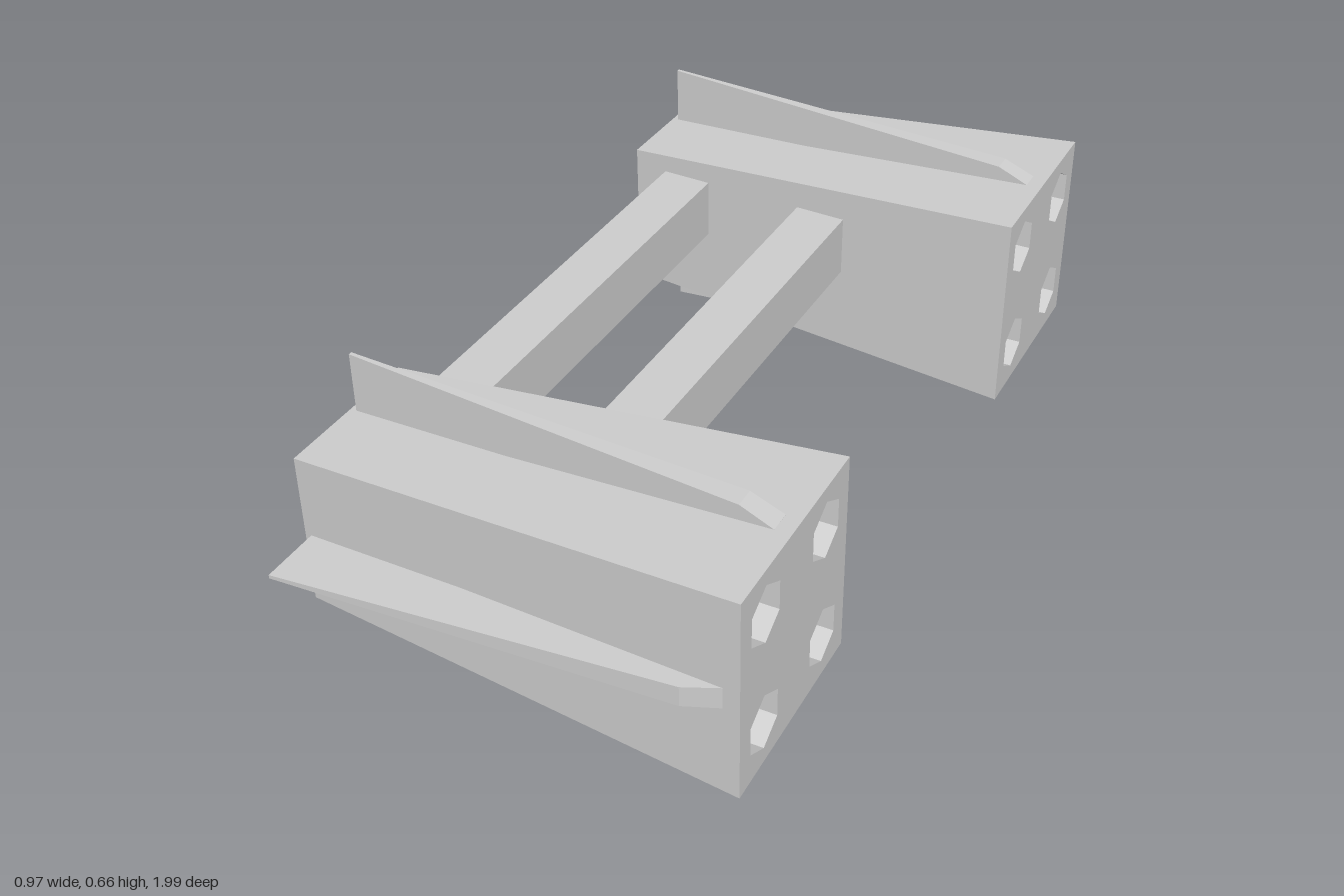
import * as THREE from 'three';

const LEN = 0.97, BIG = 0.23, SMALL = 0.1725;   // pod length, half widths of muzzle and rear
const BORE_R = 0.066, BORE_OFF = 0.129, BORE_DEPTH = 0.5;
const material = new THREE.MeshStandardMaterial({ color: 0xcccccc, flatShading: true, side: THREE.DoubleSide });

function addMesh(parent, name, geometry, x = 0, y = 0, z = 0) {
  const mesh = new THREE.Mesh(geometry, material);
  mesh.name = name;
  mesh.position.set(x, y, z);
  parent.add(mesh);
  return mesh;
}

// Thin plate that thickens toward the muzzle
function finGeometry() {
  const outline = [[-0.46, 0.185], [0.45, 0.21], [0.45, 0.228], [0.38, 0.258], [-0.46, 0.317]];
  const shape = new THREE.Shape(outline.map(([x, y]) => new THREE.Vector2(x, y)));
  const geo = new THREE.ExtrudeGeometry(shape, { depth: 2, bevelEnabled: false });
  geo.translate(0, 0, -1);
  const pos = geo.attributes.position;
  for (let i = 0; i < pos.count; i++) {
    const t = (pos.getX(i) + 0.46) / 0.91;
    pos.setZ(i, pos.getZ(i) * (0.004 + 0.02 * t));
  }
  geo.computeVertexNormals();
  return geo;
}

// Tapered box with four hexagonal bores and three fins
function createPod(name, y, z) {
  const pod = new THREE.Group();
  pod.name = name;
  pod.position.set(0, y, z);

  const shell = new THREE.CylinderGeometry(BIG * Math.SQRT2, SMALL * Math.SQRT2, LEN, 4, 1, true);
  addMesh(pod, 'podShell', shell.rotateY(Math.PI / 4).rotateZ(-Math.PI / 2));
  addMesh(pod, 'podRear', new THREE.PlaneGeometry(SMALL * 2, SMALL * 2).rotateY(-Math.PI / 2), -LEN / 2);

  // Muzzle plate with bores
  const plate = new THREE.Shape([[-1, -1], [1, -1], [1, 1], [-1, 1]].map(
    ([a, b]) => new THREE.Vector2(a * BIG, b * BIG)));
  for (const a of [-BORE_OFF, BORE_OFF]) {
    for (const b of [-BORE_OFF, BORE_OFF]) {
      const hex = [];
      for (let i = 0; i < 6; i++) {
        const t = Math.PI / 2 - i * Math.PI / 3;
        hex.push(new THREE.Vector2(a + BORE_R * Math.cos(t), b + BORE_R * Math.sin(t)));
      }
      plate.holes.push(new THREE.Path(hex));

      const wall = new THREE.CylinderGeometry(BORE_R, BORE_R, BORE_DEPTH, 6, 1, true);
      wall.rotateY(Math.PI / 6).rotateZ(-Math.PI / 2);
      addMesh(pod, 'boreWall', wall, LEN / 2 - BORE_DEPTH / 2, b, a);
      const end = new THREE.CircleGeometry(BORE_R, 6, Math.PI / 2).rotateY(Math.PI / 2);
      addMesh(pod, 'boreEnd', end, LEN / 2 - BORE_DEPTH, b, a);
    }
  }
  addMesh(pod, 'muzzlePlate', new THREE.ShapeGeometry(plate).rotateY(Math.PI / 2), LEN / 2);

  // Fins on top, bottom and the outer side
  const fin = finGeometry();
  addMesh(pod, 'topFin', fin);
  addMesh(pod, 'bottomFin', fin).rotation.x = Math.PI;
  addMesh(pod, 'outerFin', fin).rotation.x = Math.sign(z) * Math.PI / 2;
  return pod;
}

export function createModel() {
  const model = new THREE.Group();
  model.name = 'twinPodLauncher';
  model.add(createPod('frontPod', 0.319, 0.68), createPod('rearPod', 0.345, -0.68));

  // Beams joining the pods
  for (const x of [-0.345, 0.015]) {
    addMesh(model, 'crossBeam', new THREE.BoxGeometry(0.12, 0.14, 1.24), x, 0.41, 0);
  }
  return model;
}
